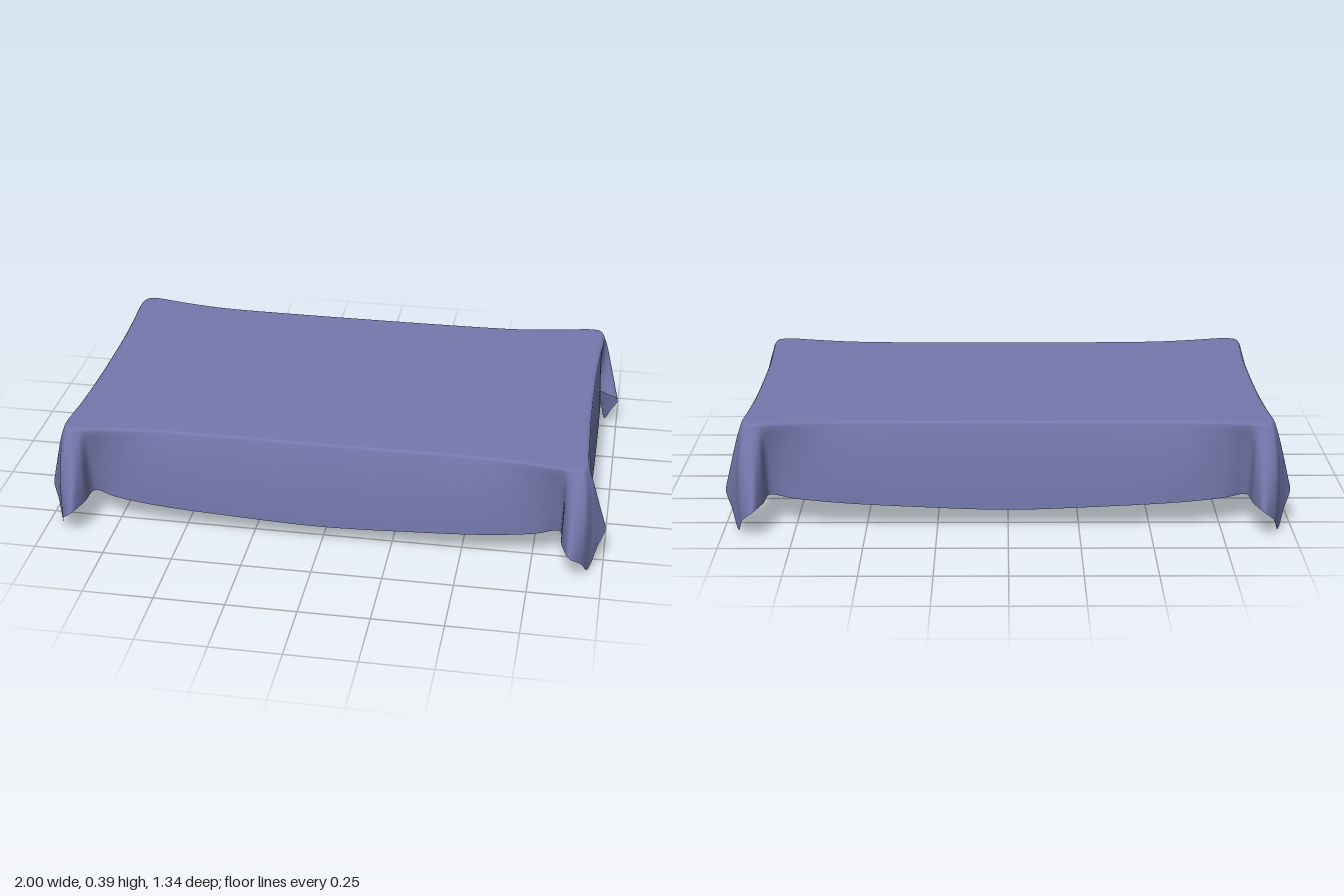
import * as THREE from 'three';

// One quarter of the cloth, from front centre round the corner to side centre:
// rim x, z | halfway down x, y, z | hem x, y, z
const QUARTER = [
  [0, 0.525, 0, 0.23, 0.55, 0, 0.07, 0.56],
  [0.3, 0.525, 0.3, 0.23, 0.55, 0.3, 0.08, 0.56],
  [0.6, 0.53, 0.6, 0.24, 0.55, 0.6, 0.095, 0.555],
  [0.76, 0.55, 0.76, 0.25, 0.54, 0.76, 0.105, 0.535],
  [0.84, 0.565, 0.845, 0.25, 0.54, 0.84, 0.11, 0.51],
  [0.87, 0.57, 0.86, 0.25, 0.59, 0.855, 0.11, 0.6],
  [0.895, 0.57, 0.885, 0.25, 0.617, 0.885, 0.1, 0.67],
  [0.915, 0.563, 0.93, 0.24, 0.605, 0.925, 0.06, 0.635],
  [0.925, 0.55, 0.95, 0.23, 0.56, 0.95, 0, 0.57],
  [0.93, 0.535, 0.965, 0.24, 0.53, 0.975, 0.06, 0.525],
  [0.932, 0.52, 0.965, 0.26, 0.51, 1.0, 0.13, 0.485],
  [0.932, 0.5, 0.945, 0.26, 0.495, 0.965, 0.155, 0.47],
  [0.93, 0.46, 0.925, 0.27, 0.47, 0.92, 0.165, 0.48],
  [0.925, 0.38, 0.93, 0.27, 0.38, 0.935, 0.167, 0.38],
  [0.918, 0.22, 0.93, 0.27, 0.22, 0.938, 0.16, 0.22],
  [0.916, 0, 0.93, 0.26, 0, 0.938, 0.13, 0],
];
const COLUMNS = 360;
const SKIRT_ROWS = 12;

// Mirrors a quarter path into a closed smooth loop and samples it
function closedLoop(pick) {
  const quarter = QUARTER.map(pick);
  const mirror = (p, sx, sz) => new THREE.Vector3(p.x * sx, p.y, p.z * sz);
  const half = [...quarter, ...quarter.slice(0, -1).reverse().map((p) => mirror(p, 1, -1))];
  const other = half.slice(1, -1).reverse().map((p) => mirror(p, -1, 1));
  const curve = new THREE.CatmullRomCurve3([...half, ...other], true);
  return Array.from({ length: COLUMNS }, (_, i) => curve.getPoint(i / COLUMNS));
}

// Joins rings of points, listed from the centre of the top down to the hem
function sheetGeometry(rings) {
  const positions = [];
  const index = [];
  rings.forEach((ring) => ring.forEach((p) => positions.push(p.x, p.y, p.z)));
  for (let r = 0; r < rings.length - 1; r++) {
    for (let i = 0; i < COLUMNS; i++) {
      const j = (i + 1) % COLUMNS;
      const a = r * COLUMNS + i, d = r * COLUMNS + j;
      const b = a + COLUMNS, c = d + COLUMNS;
      if (r > 0) index.push(a, b, d);
      index.push(b, c, d);
    }
  }
  const geometry = new THREE.BufferGeometry();
  geometry.setAttribute('position', new THREE.Float32BufferAttribute(positions, 3));
  geometry.setIndex(index);
  geometry.computeVertexNormals();
  return geometry;
}

export function createModel() {
  const group = new THREE.Group();
  group.name = 'tablecloth';
  const clothBlue = new THREE.MeshStandardMaterial({ color: 0x7479ad, side: THREE.DoubleSide });
  clothBlue.name = 'clothBlue';

  const rim = closedLoop((q) => new THREE.Vector3(q[0], 0.377, q[1]));
  const middle = closedLoop((q) => new THREE.Vector3(q[2], q[3], q[4]));
  const hem = closedLoop((q) => new THREE.Vector3(q[5], q[6], q[7]));

  // Flat top, lifted very slightly towards the corners
  const rings = [0, 0.5, 0.9, 0.97, 0.985, 0.994].map((s) => rim.map((p) => {
    const lift = 0.006 * Math.pow(Math.abs(p.x * p.z) / 0.51, 2) * s;
    const round = s > 0.99 ? 0.002 : 0;
    return new THREE.Vector3(p.x * s, 0.384 + lift - round, p.z * s);
  }));

  // Hanging skirt: each column is a parabola through rim, middle and hem
  for (let r = 0; r <= SKIRT_ROWS; r++) {
    const t = r / SKIRT_ROWS;
    rings.push(rim.map((p, i) => new THREE.Vector3()
      .addScaledVector(p, (1 - t) * (1 - 2 * t))
      .addScaledVector(middle[i], 4 * t * (1 - t))
      .addScaledVector(hem[i], t * (2 * t - 1))));
  }

  const cloth = new THREE.Mesh(sheetGeometry(rings), clothBlue);
  cloth.name = 'drapedCloth';
  group.add(cloth);
  return group;
}
